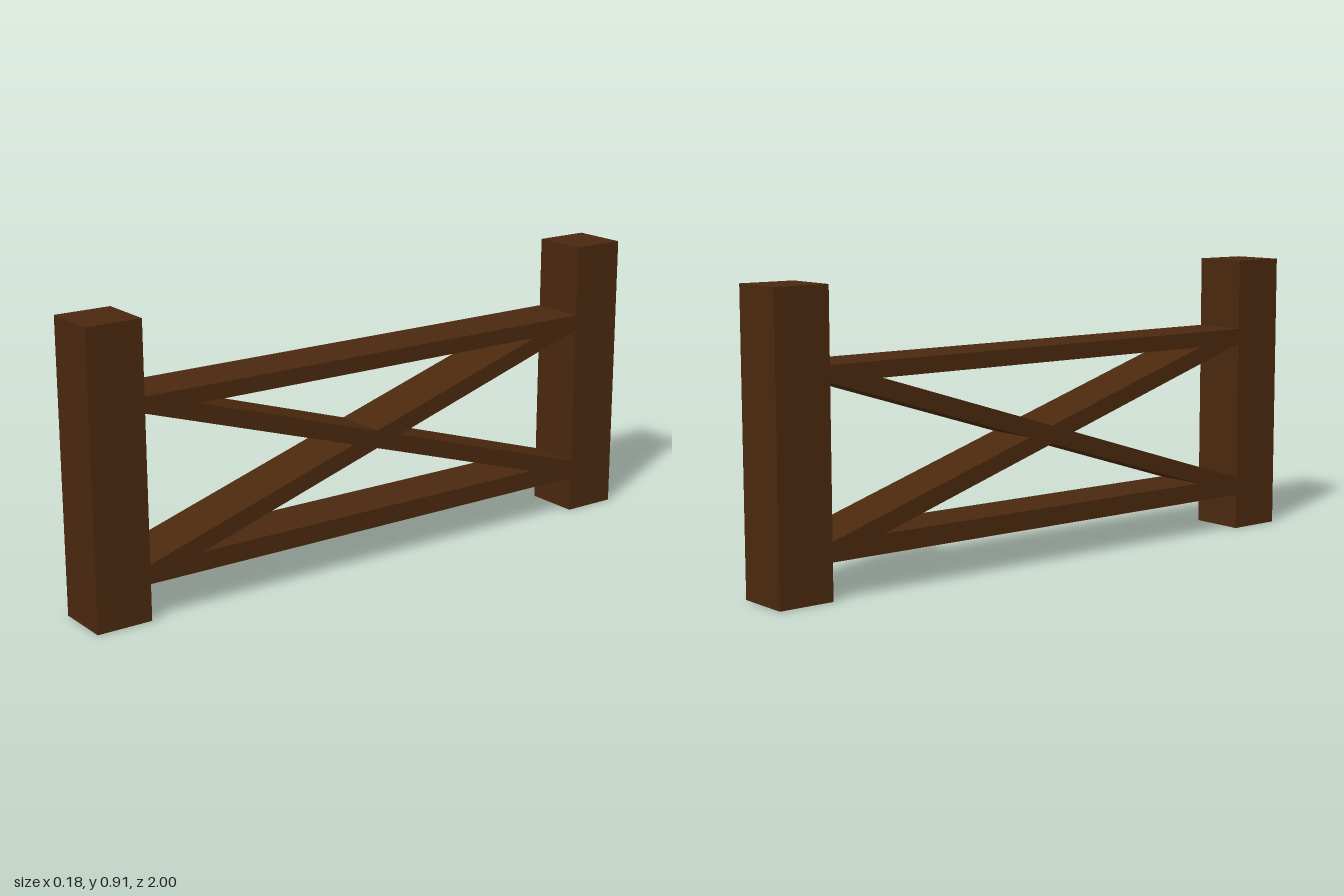
import * as THREE from 'three';

const DEPTH = 0.18; // every timber shares the same thickness across x
const POST_Z = 0.91;
const INNER_Z = 0.82; // inner faces of the posts
const RAIL_LOW = 0.175; // top of the lower rail
const RAIL_HIGH = 0.632; // underside of the upper rail

export function createModel() {
  const group = new THREE.Group();
  group.name = 'fence';
  const wood = new THREE.MeshStandardMaterial({ color: 0x4a280e, flatShading: true });

  const add = (name, geometry) => {
    const mesh = new THREE.Mesh(geometry, wood);
    mesh.name = name;
    group.add(mesh);
    return mesh;
  };

  // Square end posts
  for (const [name, side] of [['frontPost', 1], ['backPost', -1]]) {
    add(name, new THREE.BoxGeometry(DEPTH, 0.91, DEPTH)).position.set(0, 0.455, side * POST_Z);
  }

  // Horizontal rails between the posts
  const rail = (name, bottom, top) => {
    add(name, new THREE.BoxGeometry(DEPTH, top - bottom, INNER_Z * 2)).position.y = (bottom + top) / 2;
  };
  rail('lowerRail', 0.115, RAIL_LOW);
  rail('upperRail', RAIL_HIGH, 0.682);

  // Crossed braces, cut flush against the rails
  for (const [name, side] of [['risingBrace', 1], ['fallingBrace', -1]]) {
    const outline = [
      [INNER_Z, RAIL_HIGH], [0.64, RAIL_HIGH], [-INNER_Z, RAIL_LOW], [-0.64, RAIL_LOW],
    ].map(([z, y]) => new THREE.Vector2(z * side, y));
    const geometry = new THREE.ExtrudeGeometry(new THREE.Shape(outline), { depth: DEPTH, bevelEnabled: false });
    geometry.translate(0, 0, -DEPTH / 2).rotateY(-Math.PI / 2);
    add(name, geometry);
  }

  return group;
}
